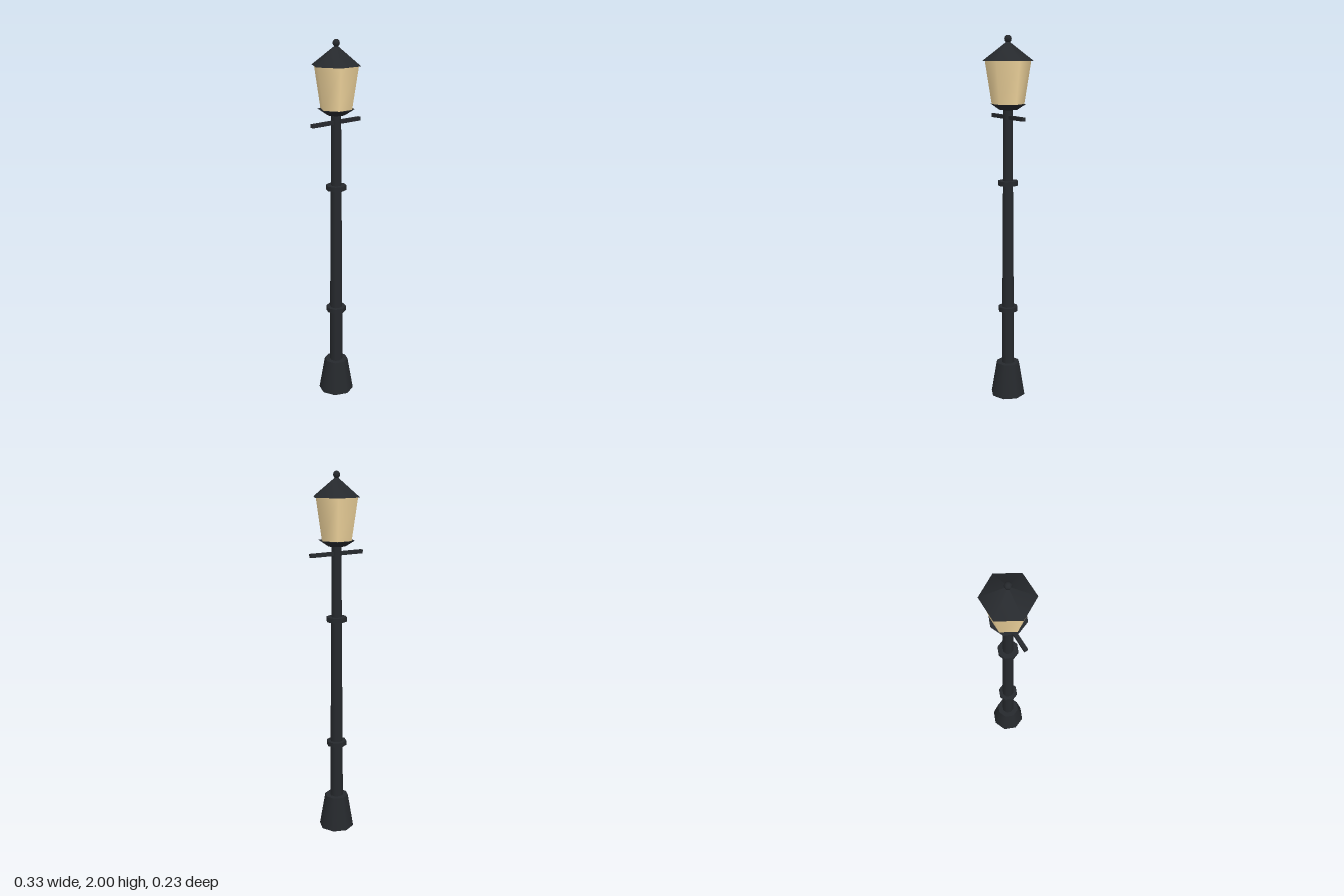
import * as THREE from 'three';

export function createModel() {
  const lamp = new THREE.Group();
  lamp.name = 'streetLamp';
  const iron = new THREE.MeshStandardMaterial({ color: 0x26292d });
  const glass = new THREE.MeshStandardMaterial({ color: 0xf5d9a0 });

  function add(name, geometry, material, y) {
    const mesh = new THREE.Mesh(geometry, material);
    mesh.name = name;
    mesh.position.y = y;
    lamp.add(mesh);
    return mesh;
  }

  // Upright prism or frustum from y0 to y1, with corners on the x axis
  function frustum(name, y0, y1, r0, r1, sides, material = iron) {
    const geometry = new THREE.CylinderGeometry(r1, r0, y1 - y0, sides);
    geometry.rotateY(Math.PI / 2);
    return add(name, geometry, material, (y0 + y1) / 2);
  }

  // Post
  frustum('base', 0, 0.19, 0.098, 0.066, 8);
  frustum('shaft', 0.19, 1.63, 0.037, 0.026, 8);
  for (const [name, y] of [['lowerCollar', 0.51], ['upperCollar', 1.222]]) {
    frustum(name, y - 0.0125, y + 0.0125, 0.056, 0.056, 8);
  }

  // Ladder bar
  add('crossbar', new THREE.BoxGeometry(0.328, 0.02, 0.02), iron, 1.575);

  // Lantern
  frustum('lanternSeat', 1.615, 1.645, 0.05, 0.097, 8);
  frustum('lanternGlass', 1.645, 1.87, 0.087, 0.122, 6, glass);
  frustum('roof', 1.868, 1.972, 0.134, 0, 6);
  const ball = new THREE.SphereGeometry(0.02, 6, 6);
  add('finial', ball, iron, 1.98);

  return lamp;
}
